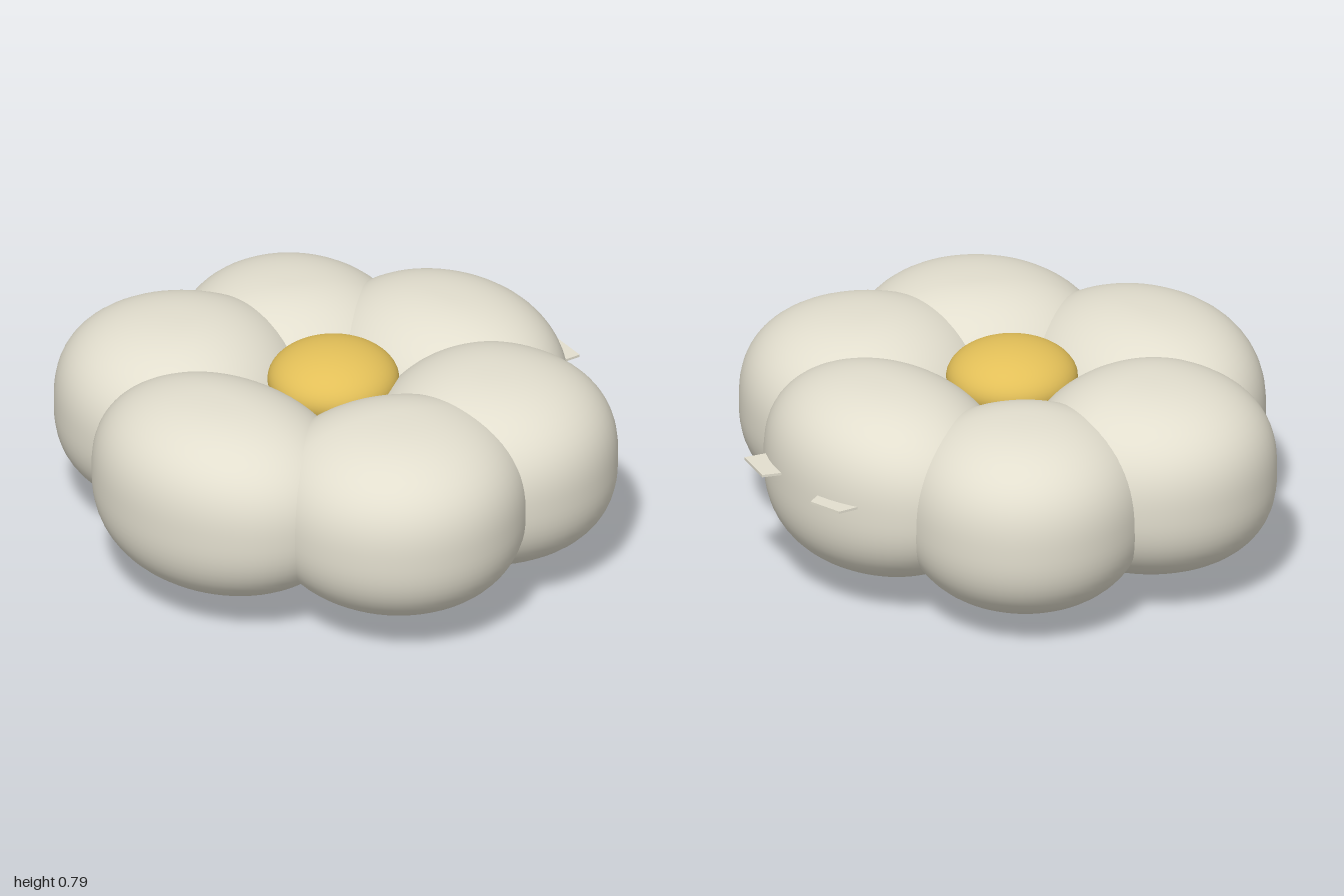
import * as THREE from 'three';
import { mergeVertices } from 'three/addons/utils/BufferGeometryUtils.js';

const petalMat = new THREE.MeshStandardMaterial({ color: 0xe2dece });
petalMat.name = 'ivory petal';
const goldMat = new THREE.MeshStandardMaterial({ color: 0xe2bf58 });
goldMat.name = 'golden yellow';

const CX = -0.02; // flower axis

// Puffy cushion: a sphere squared off at its outer end and underside, pointing along +x
function petalGeometry(tip, halfWidth, halfHeight) {
  const geo = new THREE.SphereGeometry(1, 64, 40);
  geo.deleteAttribute('uv');
  geo.deleteAttribute('normal');
  const mid = 0.53;
  const p = geo.attributes.position;
  for (let i = 0; i < p.count; i++) {
    const x = p.getX(i), y = p.getY(i), z = p.getZ(i);
    const rho = Math.hypot(x, z);
    const c = rho > 1e-5 ? x / rho : 0;
    const n = 2.32 + 0.3 * (y < 0 ? Math.abs(c) : c);
    const k = Math.pow(Math.pow(rho, n) + Math.pow(Math.abs(y), n), -1 / n);
    // the underside stops short of the axis, leaving a hole round the stem
    const inner = 0.17 - 0.04 * THREE.MathUtils.clamp(y * 3, -1, 1);
    const reach = x > 0 ? tip - mid : mid - inner;
    p.setXYZ(i, mid + x * k * reach, y * k * halfHeight, z * k * halfWidth);
  }
  const merged = mergeVertices(geo, 1e-5);
  merged.computeVertexNormals();
  return merged;
}

// Thin flat flake given by its plan corners [x, z]
function flake(corners, y) {
  const shape = new THREE.Shape(corners.map(([x, z]) => new THREE.Vector2(x, -z)));
  const geo = new THREE.ExtrudeGeometry(shape, { depth: 0.009, bevelEnabled: false });
  geo.rotateX(-Math.PI / 2);
  geo.translate(0, y, 0);
  return geo;
}

export function createModel() {
  const group = new THREE.Group();
  const add = (name, geo, mat) => {
    const mesh = new THREE.Mesh(geo, mat);
    mesh.name = name;
    group.add(mesh);
    return mesh;
  };

  // Six petals: name, angle from +x towards +z, tip radius, half width, centre height
  const petals = [
    ['leftPetal', 3, 0.94, 0.51, 0.433],
    ['frontLeftPetal', 64, 1.04, 0.475, 0.437],
    ['frontRightPetal', 114, 1.045, 0.48, 0.437],
    ['rightPetal', 183, 0.96, 0.53, 0.437],
    ['backRightPetal', 249, 1.04, 0.465, 0.44],
    ['backLeftPetal', 302, 1.02, 0.445, 0.405],
  ];
  for (const [name, deg, tip, halfWidth, y] of petals) {
    const petal = add(name, petalGeometry(tip, halfWidth, 0.348), petalMat);
    petal.position.set(CX, y, 0);
    petal.rotation.y = -deg * Math.PI / 180;
  }

  // Flattened centre button
  const button = add('centre', new THREE.SphereGeometry(0.235, 48, 32), goldMat);
  button.scale.y = 0.55;
  button.position.set(CX, 0.65, 0);

  // Stem, leaning slightly back as it rises
  const stemGeo = new THREE.CylinderGeometry(0.115, 0.12, 0.62, 40);
  stemGeo.translate(0, 0.31, 0);
  const p = stemGeo.attributes.position;
  for (let i = 0; i < p.count; i++) {
    p.setZ(i, p.getZ(i) + 0.158 - 0.09 * p.getY(i));
  }
  add('stem', stemGeo, goldMat).position.x = CX;

  // Two small flakes on the rim of the left petal
  add('backFlake', flake([[0.82, -0.26], [0.93, -0.25], [0.96, -0.12], [0.87, -0.07]], 0.46), petalMat);
  add('frontFlake', flake([[0.87, 0.11], [0.975, 0.15], [0.935, 0.31], [0.84, 0.29]], 0.468), petalMat);

  return group;
}
